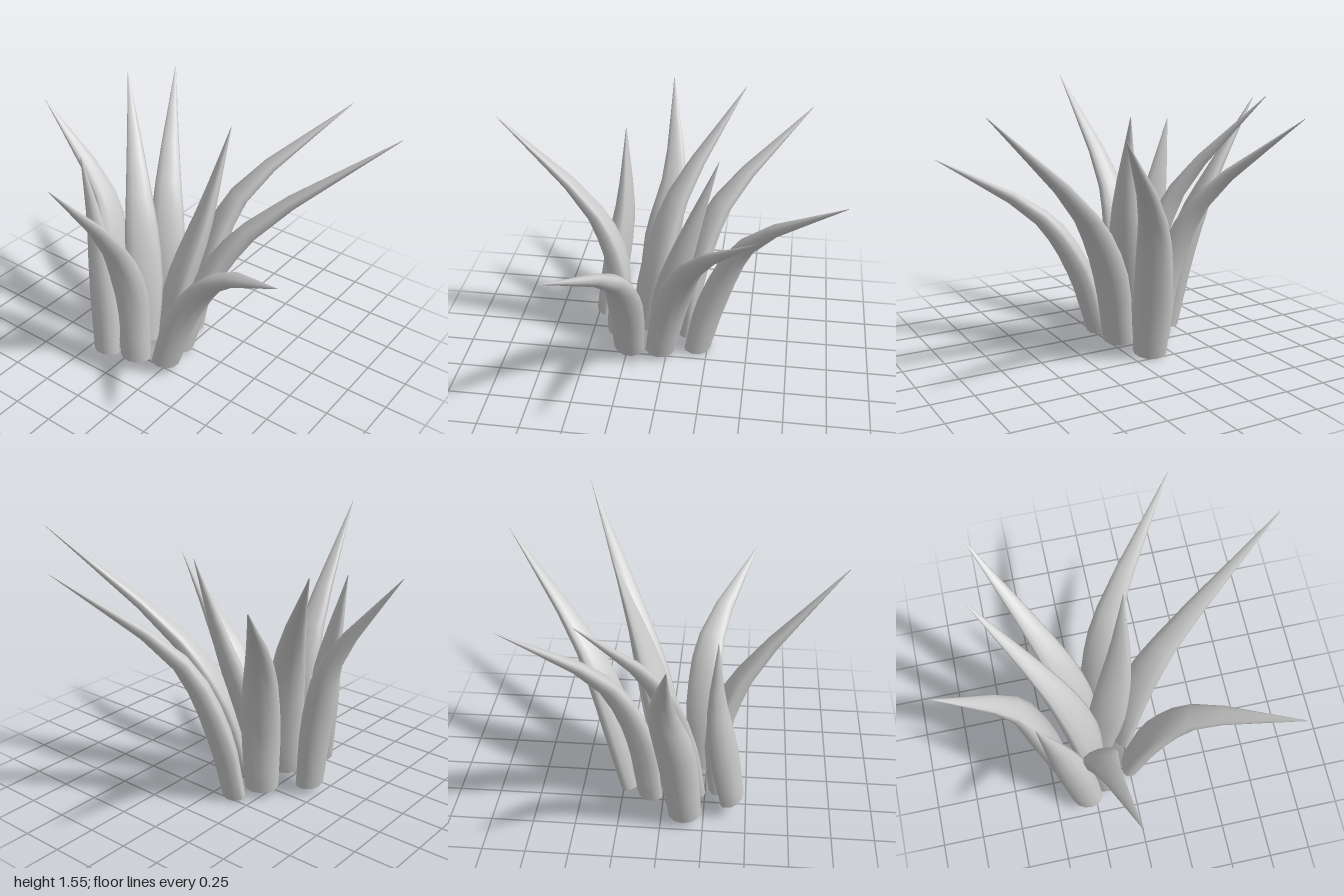
import * as THREE from 'three';

const SIDES = 12;
const RINGS = 9;
// Half width along the leaf, from base to just below the tip
const HALF = [0.1, 0.106, 0.112, 0.114, 0.108, 0.098, 0.08, 0.055, 0.028, 0.002];

// One leaf: cross-sections swept along a bent path, rounder on the outer face
function leafGeometry(points, outward) {
  const pts = points.map((p) => new THREE.Vector3(...p));
  const path = new THREE.CatmullRomCurve3(pts);
  const out = outward
    ? new THREE.Vector3(outward[0], 0, outward[1])
    : pts[3].clone().sub(pts[0]).setY(0);
  const pos = [], idx = [];

  for (let i = 0; i <= RINGS; i++) {
    const t = i / RINGS;
    const c = path.getPoint(t), dir = path.getTangent(t);
    const o = out.clone().addScaledVector(dir, -out.dot(dir)).normalize();
    const w = o.clone().cross(dir).normalize();
    for (let j = 0; j < SIDES; j++) {
      const a = (j / SIDES) * Math.PI * 2;
      const s = Math.sin(a);
      const p = c.clone()
        .addScaledVector(w, Math.cos(a) * HALF[i])
        .addScaledVector(o, s * HALF[i] * (s > 0 ? 0.85 : 0.45));
      pos.push(p.x, p.y, p.z);
    }
  }
  for (let i = 0; i < RINGS; i++) {
    for (let j = 0; j < SIDES; j++) {
      const a = i * SIDES + j, b = i * SIDES + ((j + 1) % SIDES);
      idx.push(a, b, a + SIDES, b, b + SIDES, a + SIDES);
    }
  }
  // Flat cut at the base, with its own vertices so the rim stays sharp
  const cap = pos.length / 3;
  pos.push(...pos.slice(0, SIDES * 3), ...points[0]);
  for (let j = 0; j < SIDES; j++) idx.push(cap + SIDES, cap + ((j + 1) % SIDES), cap + j);

  const g = new THREE.BufferGeometry();
  g.setAttribute('position', new THREE.Float32BufferAttribute(pos, 3));
  g.setIndex(idx);
  g.computeVertexNormals();
  return g;
}

// Path of each leaf: base, lower bend, upper bend, tip
const LEAVES = [
  { name: 'backLeaf', path: [[-0.12, 0.04, -0.18], [-0.09, 0.45, -0.27], [0.03, 0.92, -0.46], [0.48, 1.46, -0.98]] },
  { name: 'backRightLeaf', path: [[-0.22, 0.07, -0.07], [-0.25, 0.5, -0.12], [-0.37, 0.95, -0.29], [-0.7, 1.46, -0.8]] },
  { name: 'backLeftLeaf', path: [[-0.03, 0.07, 0.04], [0.06, 0.5, -0.04], [0.29, 0.91, -0.18], [1, 1.55, -0.56]] },
  { name: 'innerRightLeaf', path: [[-0.22, 0.1, 0.18], [-0.25, 0.5, 0.11], [-0.38, 0.97, -0.02], [-0.75, 1.54, -0.39]] },
  { name: 'rightLeaf', path: [[-0.41, 0.08, 0.14], [-0.49, 0.58, 0.09], [-0.61, 0.94, 0.03], [-1, 1.47, 0.08]] },
  { name: 'innerLeaf', path: [[-0.16, 0.11, 0.05], [-0.08, 0.5, 0], [0.01, 0.92, -0.12], [0.08, 1.46, -0.3]] },
  { name: 'leftLeaf', path: [[0.0, 0.09, 0.23], [0.13, 0.5, 0.22], [0.36, 0.83, 0.25], [0.92, 1.17, 0.51]] },
  { name: 'frontLeaf', path: [[-0.16, 0.09, 0.31], [-0.19, 0.55, 0.3], [-0.19, 0.93, 0.44], [-0.1, 1.57, 0.98]] },
  { name: 'frontRightLeaf', path: [[-0.3, 0.13, 0.4], [-0.35, 0.5, 0.34], [-0.42, 0.85, 0.3], [-0.52, 1.34, 0.31]], outward: [-0.35, 1] },
];

export function createModel() {
  const plant = new THREE.Group();
  plant.name = 'spikyPlant';
  const material = new THREE.MeshStandardMaterial({ color: 0xcccccc });
  for (const { name, path, outward } of LEAVES) {
    const leaf = new THREE.Mesh(leafGeometry(path, outward), material);
    leaf.name = name;
    plant.add(leaf);
  }
  // Stand the lowest leaf base on the ground
  const low = new THREE.Box3().setFromObject(plant).min.y;
  for (const leaf of plant.children) leaf.geometry.translate(0, -low, 0);
  return plant;
}
